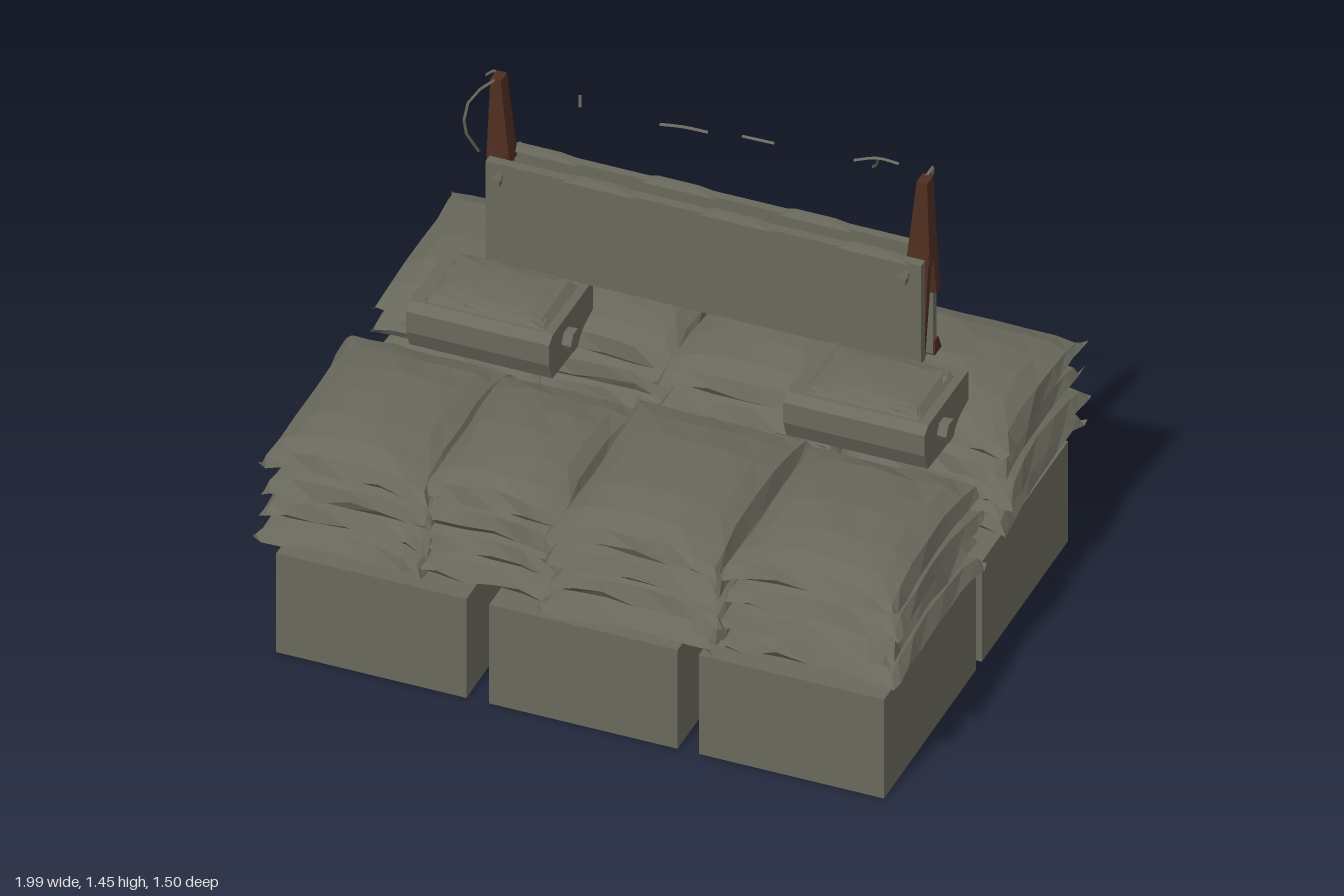
import * as THREE from 'three';

const olive = new THREE.MeshStandardMaterial({ color: 0x69685c });
olive.name = 'olive grey';
const rust = new THREE.MeshStandardMaterial({ color: 0x4f2e21 });
rust.name = 'rust brown';

let seed = 7;
const rand = () => {
  seed = (seed * 16807) % 2147483647;
  return seed / 2147483647;
};
const jitter = (s) => (rand() - 0.5) * 2 * s;

// Faceted normals
function flat(geo) {
  const g = geo.index ? geo.toNonIndexed() : geo;
  g.computeVertexNormals();
  return g;
}

function add(parent, name, geo, mat = olive) {
  const m = new THREE.Mesh(flat(geo), mat);
  m.name = name;
  parent.add(m);
  return m;
}

// Box given by its limits
function block(x0, x1, y0, y1, z0, z1) {
  return new THREE.BoxGeometry(x1 - x0, y1 - y0, z1 - z0)
    .translate((x0 + x1) / 2, (y0 + y1) / 2, (z0 + z1) / 2);
}

// Tapered beam between a lower and an upper rectangle [x0, x1, z0, z1]
function beam(y0, lo, y1, hi) {
  const g = new THREE.BoxGeometry(1, 1, 1);
  const p = g.attributes.position;
  for (let i = 0; i < p.count; i++) {
    const r = p.getY(i) > 0 ? hi : lo;
    p.setXYZ(i, p.getX(i) > 0 ? r[1] : r[0], p.getY(i) > 0 ? y1 : y0, p.getZ(i) > 0 ? r[3] : r[2]);
  }
  return g;
}

// Stuffed pillow with a pinched seam and pulled-out corners
function pillow(x0, x1, z0, z1, y, up, down, rough = 1) {
  const n = 8, pos = [], idx = [];
  const cx = (x0 + x1) / 2, cz = (z0 + z1) / 2, a = (x1 - x0) / 2, b = (z1 - z0) / 2;
  const grid = [];
  for (let i = 0; i <= n; i++) {
    for (let j = 0; j <= n; j++) {
      const u = Math.sin(((i / n) * 2 - 1) * Math.PI / 2), v = Math.sin(((j / n) * 2 - 1) * Math.PI / 2);
      const edge = i === 0 || j === 0 || i === n || j === n;
      grid.push({
        x: cx + a * u * (1 - 0.07 * (1 - v * v)) + jitter(0.006 * rough),
        z: cz + b * v * (1 - 0.08 * (1 - u * u)) + jitter(0.008 * rough),
        seam: y + (edge ? jitter(0.013 * rough) : 0),
        puff: edge ? 0 : Math.pow((1 - u * u) * (1 - v * v), 0.36) * (1 + jitter(0.05)),
      });
    }
  }
  for (const q of grid) pos.push(q.x, q.seam + up * q.puff, q.z);
  for (const q of grid) pos.push(q.x, q.seam - down * q.puff, q.z);
  const half = grid.length;
  for (let i = 0; i < n; i++) {
    for (let j = 0; j < n; j++) {
      const p = i * (n + 1) + j, q = p + n + 1;
      idx.push(p, p + 1, q + 1, p, q + 1, q);
      idx.push(half + p, half + q + 1, half + p + 1, half + p, half + q, half + q + 1);
    }
  }
  const g = new THREE.BufferGeometry();
  g.setAttribute('position', new THREE.Float32BufferAttribute(pos, 3));
  g.setIndex(idx);
  return g;
}

// Case with a bevelled underside, soft lid and end knobs
function equipmentCase(x0, x1) {
  const g = new THREE.Group();
  g.name = 'equipmentCase';
  const w = x1 - x0, mid = (x0 + x1) / 2;
  const profile = [[0.065, 0.69], [0.09, 0.75], [0.09, 0.82], [0.06, 0.84], [-0.235, 0.835],
    [-0.235, 0.735], [-0.17, 0.72], [-0.11, 0.68]];
  const shape = new THREE.Shape(profile.map(([z, y]) => new THREE.Vector2(z, y)));
  const body = new THREE.ExtrudeGeometry(shape, { depth: w, bevelEnabled: false });
  body.translate(0, 0, -w / 2).rotateY(-Math.PI / 2).translate(mid, 0, 0);
  add(g, 'caseBody', body);
  add(g, 'caseLid', beam(0.83, [x0 + 0.03, x1 - 0.02, -0.2, 0.06], 0.858, [x0 + 0.07, x1 - 0.05, -0.17, 0.03]));
  add(g, 'wrinkledCover', pillow(x0 + 0.04, x1 - 0.03, -0.2, 0.05, 0.846, 0.024, 0.01, 0.8));
  for (const x of [x0, x1]) {
    const knob = new THREE.CylinderGeometry(0.032, 0.036, 0.06, 6).rotateZ(Math.PI / 2);
    add(g, 'caseKnob', knob.translate(x, 0.765, -0.035));
  }
  return g;
}

export function createModel() {
  const model = new THREE.Group();
  model.name = 'sandbagBarricade';

  // Six base blocks
  for (const [x0, x1] of [[-0.93, -0.345], [-0.275, 0.305], [0.37, 0.94]]) {
    add(model, 'frontBaseBlock', block(x0, x1, 0.005, 0.35, 0.035, 0.715));
    add(model, 'backBaseBlock', block(x0, x1, 0.005, 0.353, -0.65, -0.01));
  }

  // Two rows of four stacks, four bags high: x0, x1, front z range, back z range
  const stacks = [
    [-0.99, -0.47, 0.03, 0.71, -0.735, -0.12],
    [-0.52, -0.06, 0.05, 0.68, -0.675, -0.15],
    [-0.11, 0.44, 0.01, 0.735, -0.735, -0.09],
    [0.42, 0.97, 0.03, 0.71, -0.735, -0.12],
  ];
  const seams = [0.385, 0.465, 0.55, 0.64];
  for (const [x0, x1, f0, f1, b0, b1] of stacks) {
    seams.forEach((y, k) => {
      const s = k === 3 ? 0 : 0.012;
      const dx = jitter(s), dz = jitter(s);
      add(model, 'frontSandbag', pillow(x0 + dx, x1 + dx, f0 + dz, f1 + dz, y, 0.09, 0.038));
      add(model, 'backSandbag', pillow(x0 - dx, x1 - dx, b0 - dz, b1 - dz, y, 0.09, 0.038));
    });
  }

  model.add(equipmentCase(-0.79, -0.35), equipmentCase(0.37, 0.805));

  // Barrier panels with ragged top trim
  add(model, 'frontPanel', block(-0.67, 0.67, 0.835, 1.18, -0.24, -0.21));
  add(model, 'backPanel', block(-0.67, 0.67, 0.815, 1.18, -0.325, -0.298));
  for (let i = 0; i < 6; i++) {
    const x = -0.64 + i * 0.21, z = i % 2 ? -0.225 : -0.31;
    add(model, 'topTrim', beam(1.175, [x, x + 0.22, z - 0.018, z + 0.018], 1.192,
      [x + 0.04, x + 0.16, z - 0.008, z + 0.008]));
  }

  // Forked posts, with bolts through both panels
  for (const s of [-1, 1]) {
    const rect = (a, b, z0, z1) => (s > 0 ? [a, b, z0, z1] : [-b, -a, z0, z1]);
    add(model, 'post', beam(1.16, rect(0.61, 0.682, -0.305, -0.245), 1.44, rect(0.64, 0.672, -0.297, -0.25)), rust);
    add(model, 'backPostLeg', beam(1.03, rect(0.63, 0.682, -0.326, -0.296), 1.2, rect(0.615, 0.68, -0.305, -0.27)), rust);
    add(model, 'frontPostLeg', beam(0.84, rect(0.63, 0.668, -0.246, -0.236), 1.2, rect(0.615, 0.68, -0.275, -0.243)), rust);
    add(model, 'postFoot', beam(0.81, rect(0.63, 0.675, -0.35, -0.3), 0.86, rect(0.63, 0.675, -0.327, -0.3)), rust);
    add(model, 'bolt', new THREE.CylinderGeometry(0.011, 0.011, 0.17, 6).rotateX(Math.PI / 2)
      .translate(s * 0.625, 1.143, -0.265));
    for (const z of [-0.175, -0.35]) {
      add(model, 'boltHead', new THREE.CylinderGeometry(0.018, 0.018, 0.025, 6).rotateX(Math.PI / 2)
        .translate(s * 0.625, 1.143, z));
    }
  }

  // Broken wire strands along and around the post tops
  const strands = [
    [[-0.66, 1.44, -0.25], [-0.7, 1.42, -0.17], [-0.71, 1.34, -0.145], [-0.69, 1.21, -0.21]],
    [[-0.67, 1.43, -0.3], [-0.7, 1.4, -0.34], [-0.73, 1.365, -0.36]],
    [[-0.405, 1.445, -0.27], [-0.4, 1.41, -0.26]],
    [[-0.15, 1.425, -0.25], [-0.08, 1.428, -0.26], [-0.01, 1.422, -0.27]],
    [[0.09, 1.428, -0.28], [0.19, 1.43, -0.28]],
    [[0.43, 1.43, -0.29], [0.5, 1.45, -0.3], [0.56, 1.44, -0.31]],
    [[0.5, 1.45, -0.3], [0.48, 1.4, -0.33], [0.46, 1.37, -0.36]],
    [[0.65, 1.43, -0.28], [0.66, 1.45, -0.32], [0.65, 1.41, -0.34]],
  ];
  for (const pts of strands) {
    const curve = new THREE.CatmullRomCurve3(pts.map((p) => new THREE.Vector3(...p)));
    add(model, 'wireStrand', new THREE.TubeGeometry(curve, 6, 0.005, 3));
  }
  return model;
}
